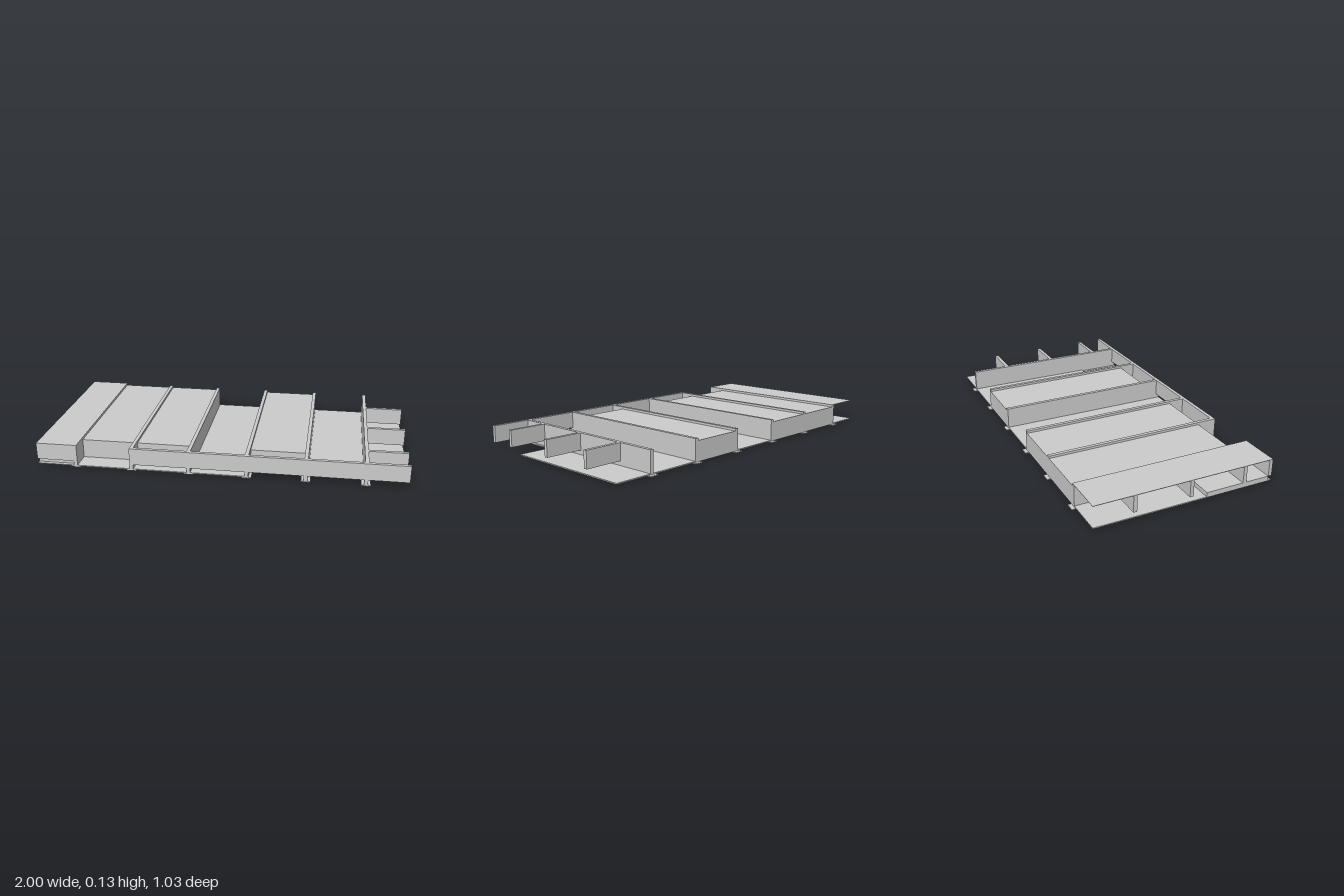
import * as THREE from 'three';

export function createModel() {
  const group = new THREE.Group();
  const material = new THREE.MeshStandardMaterial({ color: 0xcccccc, flatShading: true });

  // Box given by its limits on each axis
  function block(name, [x0, x1], [y0, y1], [z0, z1]) {
    const mesh = new THREE.Mesh(new THREE.BoxGeometry(x1 - x0, y1 - y0, z1 - z0), material);
    mesh.position.set((x0 + x1) / 2, (y0 + y1) / 2, (z0 + z1) / 2);
    mesh.name = name;
    group.add(mesh);
  }

  const back = -0.495, front = 0.515;
  const half = 0.01; // half joist thickness
  const top = 0.128, boardBase = 0.005, boardTop = 0.011, noggingBase = 0.035;
  const joists = Array.from({ length: 6 }, (_, i) => -0.784 + i * 0.3124);

  // Joists, each standing on a wider bearing batten
  for (const x of joists) {
    block('joist', [x - half, x + half], [boardBase, top], [back, front]);
    block('bearingBatten', [x - 0.025, x + 0.025], [0, boardBase], [-0.515, front]);
  }

  // Bays between joists, including the open bays at both ends
  const bays = [];
  for (let i = 0; i <= joists.length; i++) {
    bays.push([i === 0 ? -1 : joists[i - 1] + half, i === joists.length ? 1 : joists[i] - half]);
  }

  // Subfloor boards resting on the battens, cut short in the last three bays
  bays.forEach((bay, i) => {
    if (i === 0) {
      block('subfloorBoard', bay, [boardBase, boardTop], [back, 0.125]);
      block('subfloorBoard', bay, [boardBase + 0.002, boardTop], [0.125, front]);
    } else {
      block('subfloorBoard', bay, [boardBase, boardTop], [back, i < 4 ? front : 0.265]);
    }
  });

  // Insulation slabs
  for (const i of [1, 2, 4]) block('insulation', bays[i], [boardTop, 0.115], [back, 0.405]);
  block('lowInsulation', bays[0], [boardTop, noggingBase], [0.125, front - 0.02]);

  // Front blocking, left out of one bay
  bays.forEach((bay, i) => {
    if (i !== 1) block('frontBlocking', bay, [noggingBase, top - 0.002 * (i === 0)], [front - 0.02, front]);
  });

  // Short noggings in the end bays
  for (const i of [0, 6]) {
    for (const z of [-0.274, 0.037, 0.349]) {
      block('nogging', bays[i], [noggingBase, top - 0.002 * (i === 0)], [z - half, z + half]);
    }
  }

  // Thin deck over the first bay
  block('deck', [-1, joists[0] + half], [top - 0.002, top + 0.0005], [back, front]);

  return group;
}
